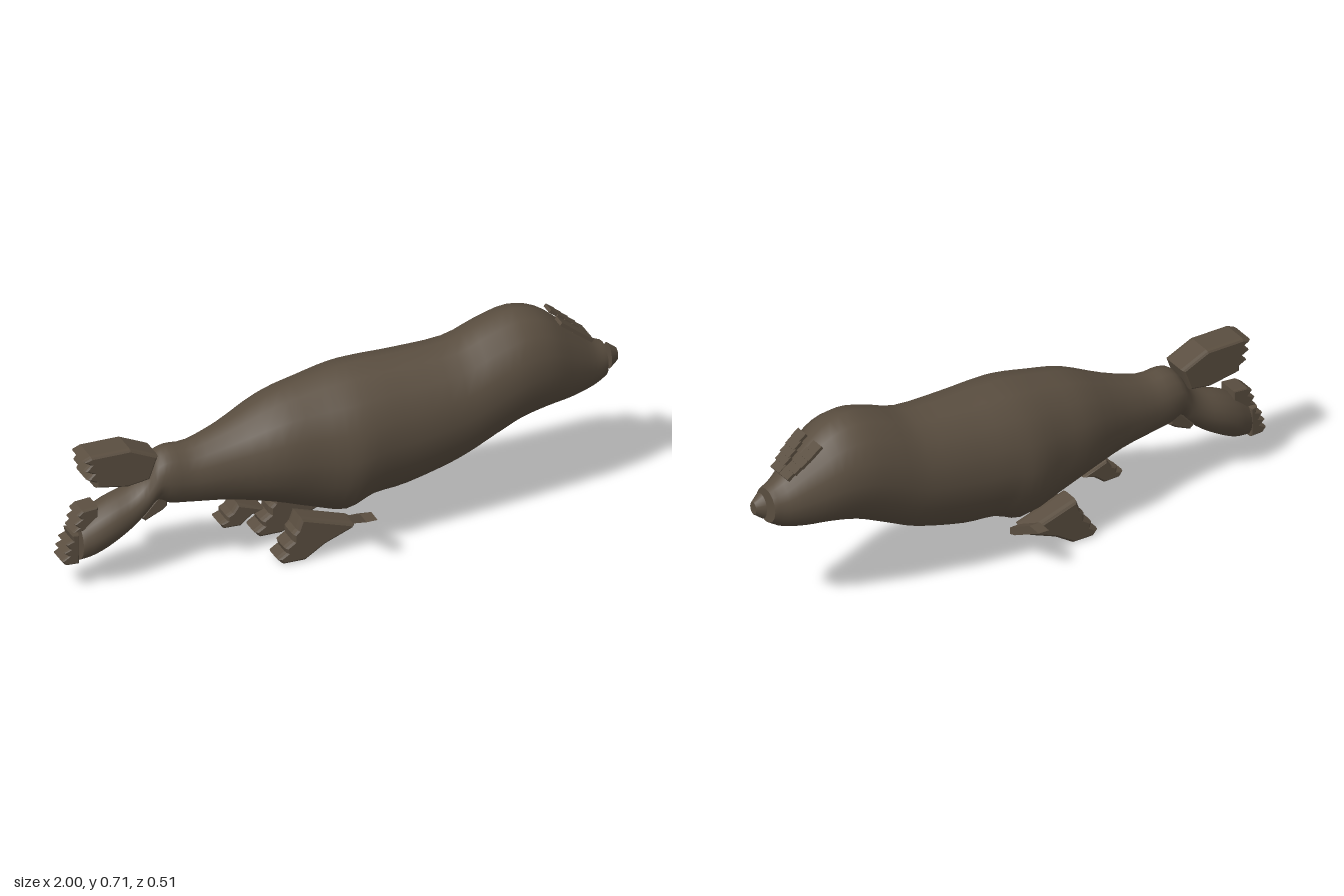
import * as THREE from 'three';

const hide = new THREE.MeshStandardMaterial({ color: 0x5a4e40 });
hide.name = 'brown hide';

function add(group, name, geometry) {
  const mesh = new THREE.Mesh(geometry, hide);
  mesh.name = name;
  group.add(mesh);
  return mesh;
}

// Smooth body swept along x; each station is [x, top, bottom, halfWidth].
function loft(stations, steps, sides) {
  const spine = new THREE.CatmullRomCurve3(stations.map(s => new THREE.Vector3(s[0], 0, 0)), false, 'catmullrom');
  const size = new THREE.CatmullRomCurve3(stations.map(s => new THREE.Vector3(s[1], s[2], s[3])), false, 'catmullrom');
  const pos = [], index = [];
  const ring = (t, scale = 1) => {
    const x = spine.getPoint(t).x, p = size.getPoint(t);
    for (let j = 0; j < sides; j++) {
      const a = j / sides * Math.PI * 2;
      pos.push(x, (p.x + p.y) / 2 + Math.cos(a) * scale * (p.x - p.y) / 2, Math.sin(a) * scale * p.z);
    }
  };
  for (let i = 0; i <= steps; i++) ring(i / steps);
  for (let i = 0; i < steps; i++) {
    for (let j = 0; j < sides; j++) {
      const k = (j + 1) % sides;
      const a = i * sides + j, b = i * sides + k, c = a + sides, d = b + sides;
      index.push(a, b, c, b, d, c);
    }
  }
  // Flat caps with their own vertices keep the rims sharp
  for (const t of [0, 1]) {
    const start = pos.length / 3;
    ring(t);
    for (let j = 1; j < sides - 1; j++) {
      if (t) index.push(start, start + j, start + j + 1);
      else index.push(start, start + j + 1, start + j);
    }
  }
  const g = new THREE.BufferGeometry();
  g.setAttribute('position', new THREE.Float32BufferAttribute(pos, 3));
  g.setIndex(index);
  g.computeVertexNormals();
  return g;
}

// Side outline in x and y, thickened about z = 0 with softened edges.
function slab(points, width, bevel = 0.008) {
  const shape = new THREE.Shape(points.map(p => new THREE.Vector2(...p)));
  const thick = Math.min(bevel * 2, width / 3);
  const g = new THREE.ExtrudeGeometry(shape, {
    depth: width - 2 * thick, bevelEnabled: bevel > 0,
    bevelSize: bevel, bevelThickness: thick, bevelOffset: -bevel, bevelSegments: 2,
  });
  return g.translate(0, 0, -(width - 2 * thick) / 2);
}

export function createModel() {
  const seal = new THREE.Group();
  seal.name = 'seal';

  // Body, head and lower tail in one skin
  add(seal, 'body', loft([
    [-0.93, 0.235, 0.1, 0.06], [-0.88, 0.275, 0.11, 0.075], [-0.82, 0.305, 0.14, 0.08],
    [-0.75, 0.33, 0.185, 0.074], [-0.7, 0.37, 0.23, 0.072], [-0.66, 0.435, 0.27, 0.078],
    [-0.61, 0.456, 0.25, 0.086], [-0.53, 0.455, 0.238, 0.092], [-0.4, 0.5, 0.22, 0.118],
    [-0.25, 0.57, 0.185, 0.165], [-0.12, 0.603, 0.14, 0.185], [0, 0.625, 0.108, 0.21],
    [0.1, 0.63, 0.145, 0.203], [0.22, 0.63, 0.157, 0.192], [0.4, 0.637, 0.205, 0.18],
    [0.52, 0.68, 0.26, 0.175], [0.63, 0.707, 0.31, 0.168], [0.73, 0.682, 0.333, 0.147],
    [0.82, 0.61, 0.343, 0.11], [0.9, 0.54, 0.362, 0.075], [0.95, 0.515, 0.39, 0.057],
  ], 60, 16));

  // Nose button standing just ahead of the muzzle
  const nose = new THREE.CylinderGeometry(0.5, 1, 0.03, 16).rotateZ(-Math.PI / 2);
  nose.scale(1, 0.047, 0.037).translate(0.985, 0.457, 0);
  add(seal, 'nose', nose);

  // Brow ridges: overlapping slats that step down the forehead in a V
  for (const side of [1, -1]) {
    const brow = new THREE.Group();
    brow.name = side > 0 ? 'leftBrow' : 'rightBrow';
    for (let i = 0; i < 5; i++) {
      const t = i / 4;
      const inner = 0.022 * (1 - t) + 0.001, outer = 0.071 - 0.019 * t * t;
      const slat = add(brow, 'browSlat', new THREE.BoxGeometry(0.036, 0.012, outer - inner));
      slat.position.set(0.788 + 0.093 * t, 0.643 - 0.078 * t, side * (inner + outer) / 2);
      slat.rotation.z = -0.64;
    }
    seal.add(brow);
  }

  // Upper tail flipper with notched toes
  add(seal, 'upperTailFlipper', slab([
    [-0.66, 0.455], [-0.76, 0.5], [-0.9, 0.5], [-0.93, 0.487], [-0.905, 0.47], [-0.925, 0.45],
    [-0.895, 0.435], [-0.915, 0.415], [-0.885, 0.4], [-0.885, 0.38], [-0.77, 0.36], [-0.69, 0.372],
  ], 0.11));

  // Toes at the end of the lower tail
  add(seal, 'lowerTailToes', slab([
    [-0.938, 0.21], [-0.965, 0.212], [-0.96, 0.19], [-0.985, 0.18], [-0.97, 0.16], [-0.995, 0.15],
    [-0.975, 0.135], [-1, 0.12], [-0.985, 0.102], [-0.938, 0.1],
  ], 0.08, 0.005));
  add(seal, 'upperTailToes', slab([
    [-0.87, 0.3], [-0.925, 0.295], [-0.945, 0.28], [-0.93, 0.265], [-0.955, 0.25],
    [-0.94, 0.235], [-0.96, 0.22], [-0.9, 0.22], [-0.87, 0.25],
  ], 0.08, 0.005));

  // Small keel pads under the tail root and the belly
  add(seal, 'tailPad', slab([
    [-0.62, 0.285], [-0.66, 0.29], [-0.72, 0.225], [-0.7, 0.208], [-0.64, 0.235], [-0.62, 0.25],
  ], 0.08));
  add(seal, 'bellyPad', slab([
    [-0.275, 0.165], [-0.37, 0.203], [-0.39, 0.175], [-0.41, 0.165], [-0.41, 0.15],
    [-0.435, 0.14], [-0.42, 0.12], [-0.36, 0.118], [-0.32, 0.15],
  ], 0.085));

  // Front flippers, each with a thin spur reaching outward
  for (const side of [1, -1]) {
    const flipper = new THREE.Group();
    flipper.name = side > 0 ? 'leftFrontFlipper' : 'rightFrontFlipper';
    const paddle = add(flipper, 'paddle', slab([
      [0.008, 0.1], [-0.185, 0.162], [-0.2, 0.12], [-0.215, 0.105], [-0.215, 0.08], [-0.245, 0.06],
      [-0.24, 0.042], [-0.27, 0.022], [-0.25, 0], [-0.17, 0], [-0.1, 0.045], [0, 0.085],
    ], 0.09, 0.01));
    paddle.position.z = side * 0.1;
    const outline = [[0.08, 0.075], [0.11, 0.085], [0.255, 0.166], [0.2, 0.168], [0.08, 0.1]];
    const shape = new THREE.Shape(outline.map(([z, y]) => new THREE.Vector2(-side * z, y)));
    const spur = new THREE.ExtrudeGeometry(shape, { depth: 0.04, bevelEnabled: false });
    add(flipper, 'spur', spur.rotateY(Math.PI / 2).translate(0, 0, 0));
    seal.add(flipper);
  }
  return seal;
}
